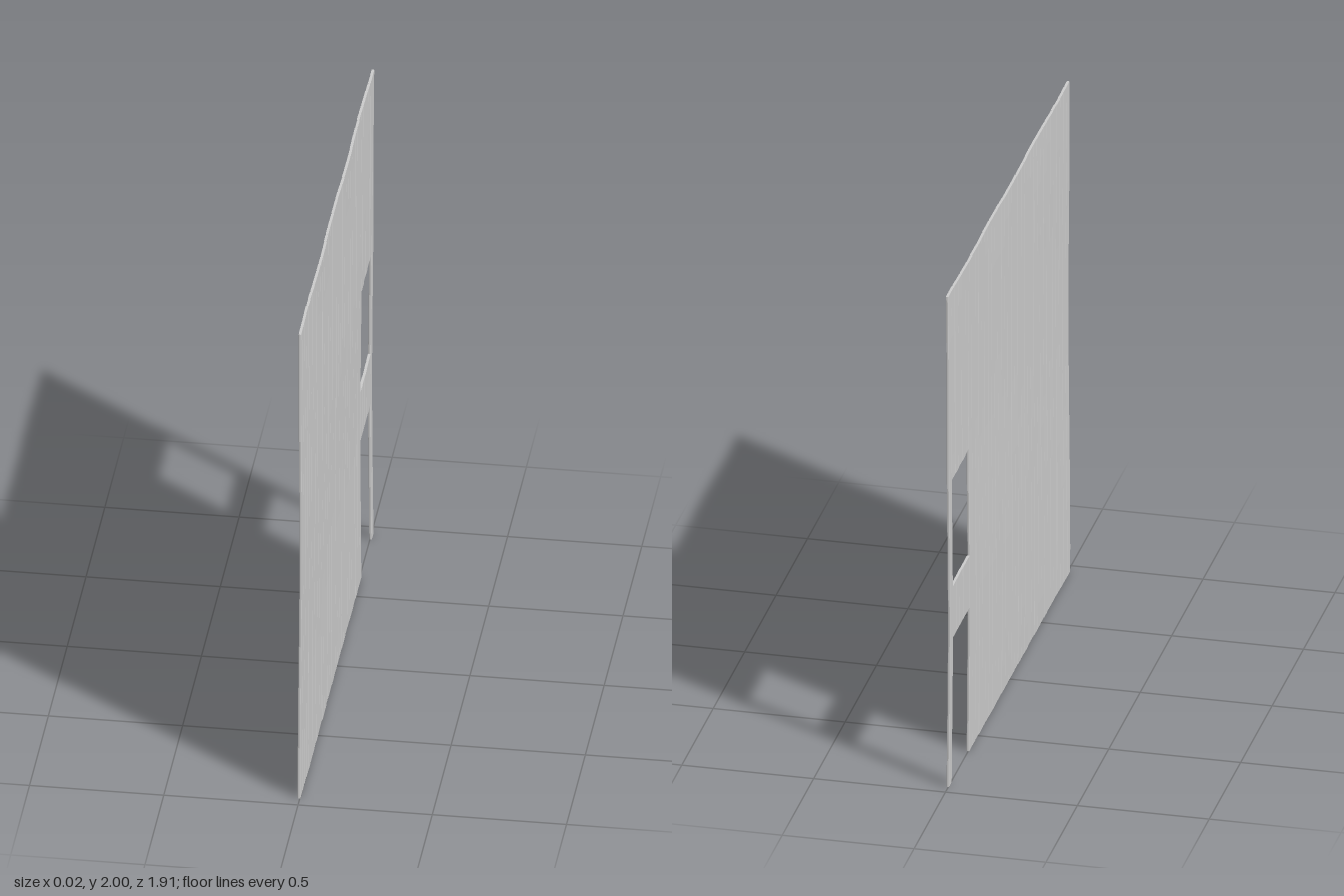
import * as THREE from 'three';

const COUNT = 37, HALF = 0.954, THICK = 0.01;
const OPEN_FRONT = -0.639, OPEN_BACK = -0.91; // z limits of doorway and window
const FIRST = 31, POST = 36;                  // planks 31..35 cross the openings

// Small repeatable variation per plank, in -1..1
const vary = (i, k) => {
  const s = Math.sin(i * 12.9898 + k * 78.233) * 43758.5453;
  return (s - Math.floor(s)) * 2 - 1;
};

// Gentle warp of the whole wall, with the top edge curling to the left
const warp = (y, z) => {
  const curl = Math.max(0, (y - 1.6) / 0.4) ** 2;
  return 0.0025 * Math.sin(y * 3.4 + 3.1 + 0.8 * z)
    - 0.0018 * Math.cos((z - 0.2) * 4) * Math.sin(y * 1.5)
    + curl * (0.003 + 0.002 * Math.sin(z * 9 + 4));
};

// Seam between plank i-1 and plank i; inner seams wander a little
const seam = (i, y) => {
  if (i === 0) return HALF;
  if (i === COUNT) return -HALF;
  if (i === FIRST) return OPEN_FRONT;
  if (i === POST) return OPEN_BACK;
  const z = i < FIRST
    ? HALF + (OPEN_FRONT - HALF) * i / FIRST
    : OPEN_FRONT + (OPEN_BACK - OPEN_FRONT) * (i - FIRST) / (POST - FIRST);
  return z + 0.0012 * Math.sin(y * 3 + 5 * vary(i, 1));
};

// Plank cross-section, unit width, with bevelled long edges
const t = THICK / 2, bevel = 0.0022, w = 0.5, b = 0.045;
const section = new THREE.Shape([
  [t, -w + b], [t, w - b], [t - bevel, w], [bevel - t, w],
  [-t, w - b], [-t, b - w], [bevel - t, -w], [t - bevel, -w],
].map(([x, y]) => new THREE.Vector2(x, y)));

// One plank piece from y0 to y1, bent to follow seams and warp
function plank(i, y0, y1, name, material) {
  const steps = Math.max(3, Math.round((y1 - y0) * 10));
  const geo = new THREE.ExtrudeGeometry(section, { depth: y1 - y0, steps, bevelEnabled: false });
  geo.rotateX(-Math.PI / 2).translate(0, y0, 0);
  const p = geo.attributes.position;
  for (let v = 0; v < p.count; v++) {
    const y = p.getY(v);
    const z = THREE.MathUtils.lerp(seam(i + 1, y), seam(i, y), p.getZ(v) + 0.5);
    const offset = 0.0006 * vary(i, 2) + 0.0006 * Math.sin(y * 4 + 3 * vary(i, 3));
    p.setXYZ(v, p.getX(v) + offset + warp(y, z), y, z);
  }
  geo.computeVertexNormals();
  const mesh = new THREE.Mesh(geo, material);
  mesh.name = name;
  return mesh;
}

export function createModel() {
  const wall = new THREE.Group();
  wall.name = 'plankWall';
  const wood = new THREE.MeshStandardMaterial({ color: 0xcccccc });

  for (let i = 0; i < COUNT; i++) {
    if (i >= FIRST && i < POST) {
      // Short pieces between doorway, window and top edge
      wall.add(plank(i, 0.59, 0.8, 'windowSillPlank', wood));
      wall.add(plank(i, 1.234, 2, 'windowHeadPlank', wood));
    } else {
      wall.add(plank(i, 0, 2, i === POST ? 'endPost' : 'wallPlank', wood));
    }
  }
  return wall;
}
